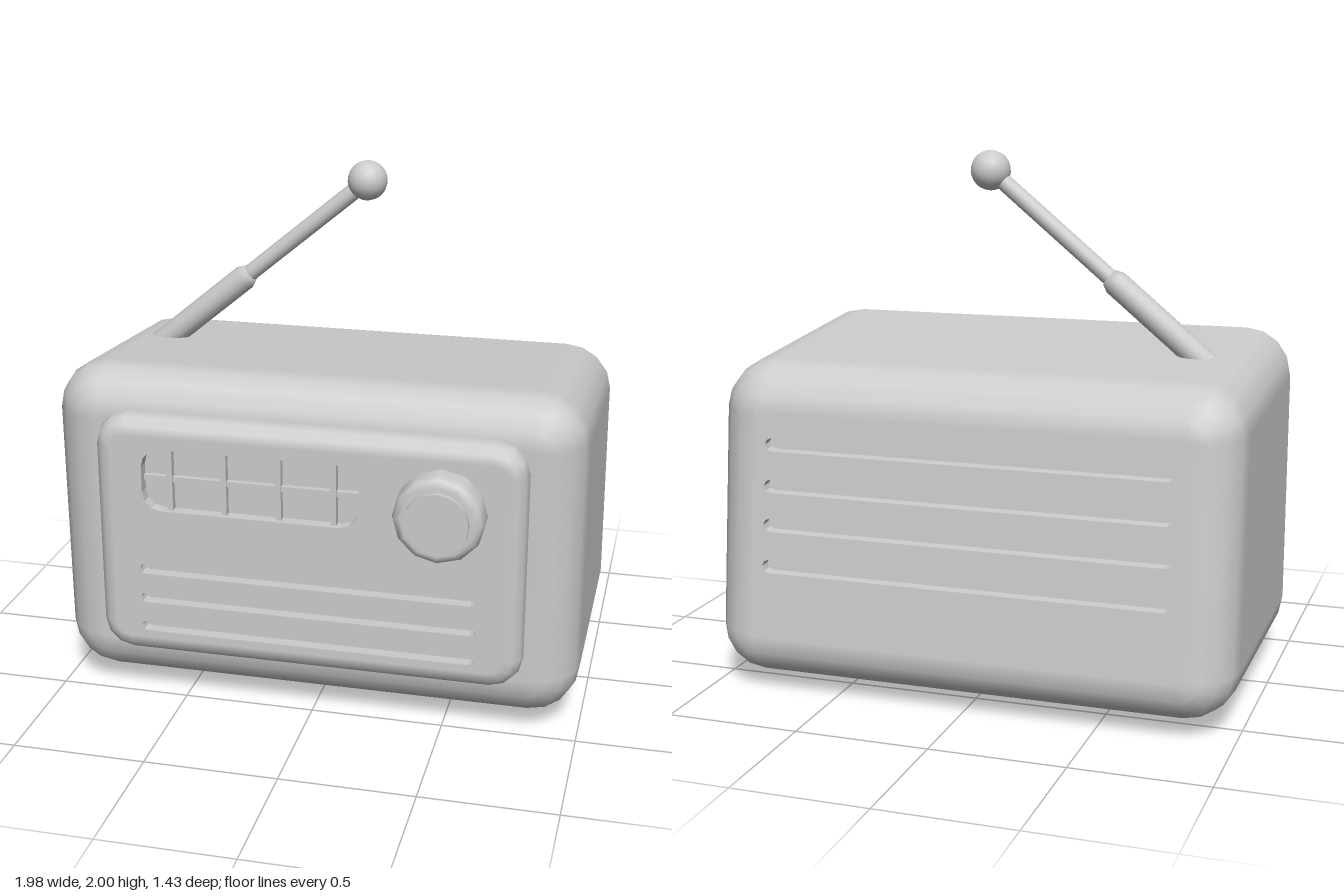
import * as THREE from 'three';
import { RoundedBoxGeometry } from 'three/addons/geometries/RoundedBoxGeometry.js';

const grey = new THREE.MeshStandardMaterial({ color: 0xcccccc });

function add(parent, name, geometry, x = 0, y = 0, z = 0) {
  const mesh = new THREE.Mesh(geometry, grey);
  mesh.name = name;
  mesh.position.set(x, y, z);
  parent.add(mesh);
  return mesh;
}

// Counter-clockwise outline of a rounded rectangle, with its outward directions
function outline(hw, hh, r, n, cx = 0, cy = 0) {
  const points = [], dirs = [];
  [[1, 1], [-1, 1], [-1, -1], [1, -1]].forEach(([sx, sy], corner) => {
    for (let i = 0; i <= n; i++) {
      const a = (corner + i / n) * Math.PI / 2;
      const d = new THREE.Vector2(Math.cos(a), Math.sin(a));
      dirs.push(d);
      points.push(new THREE.Vector2(cx + sx * (hw - r) + r * d.x, cy + sy * (hh - r) + r * d.y));
    }
  });
  return { points, dirs };
}

// Side wall of a rounded block, swept along z: each ring is [inset, z, normal angle]
function rim(hw, hh, r, n, cy, rings) {
  const pos = [], nor = [], index = [];
  const count = 4 * (n + 1);
  rings.forEach(([inset, z, a], k) => {
    const { points, dirs } = outline(hw - inset, hh - inset, r - inset, n, 0, cy);
    points.forEach((p, i) => {
      pos.push(p.x, p.y, z);
      nor.push(Math.cos(a) * dirs[i].x, Math.cos(a) * dirs[i].y, Math.sin(a));
      if (k === 0) return;
      const j = (i + 1) % count, lo = (k - 1) * count, hi = k * count;
      index.push(lo + i, lo + j, hi + j, lo + i, hi + j, hi + i);
    });
  });
  const g = new THREE.BufferGeometry();
  g.setAttribute('position', new THREE.Float32BufferAttribute(pos, 3));
  g.setAttribute('normal', new THREE.Float32BufferAttribute(nor, 3));
  g.setIndex(index);
  return g;
}

// Quarter-round rings from the flat side out to the face (or mirrored for the back)
function bevelRings(b, zFace, n, sign) {
  const rings = [];
  for (let i = 0; i <= n; i++) {
    const a = i / n * Math.PI / 2;
    rings.push([b * (1 - Math.cos(a)), zFace - sign * b * (1 - Math.sin(a)), sign * a]);
  }
  return sign > 0 ? rings : rings.reverse();
}

function faceShape(hw, hh, r, n, cy, holes = []) {
  const shape = new THREE.Shape(outline(hw, hh, r, n, 0, cy).points);
  holes.forEach(h => shape.holes.push(new THREE.Path(h.points)));
  return shape;
}

const slab = (shape, depth) =>
  new THREE.ExtrudeGeometry(shape, { depth, bevelEnabled: false });

// Lean the back forward and slope the top down towards the back
function taper(g) {
  const p = g.attributes.position, m = g.attributes.normal, v = new THREE.Vector3();
  for (let i = 0; i < p.count; i++) {
    const y = p.getY(i), z = p.getZ(i);
    p.setY(i, 0.055 + (y - 0.055) * (1 - 0.064 * (0.4 - Math.min(z, 0.4))));
    p.setZ(i, 0.53 - (0.53 - z) * (1 - 0.085 * (y - 0.15)));
    v.fromBufferAttribute(m, i);
    const up = Math.max(v.y, 0), back = Math.max(-v.z, 0);
    v.y += 0.1 * back;
    v.z -= 0.08 * up;
    v.normalize();
    m.setXYZ(i, v.x, v.y, v.z);
  }
  return g;
}

function createBody() {
  const body = new THREE.Group();
  body.name = 'body';
  const hw = 0.992, cy = 0.683, hh = 0.628, r = 0.185, b = 0.18, n = 4;
  const zF = 0.53, zB = -0.72;
  add(body, 'caseShell', taper(rim(hw, hh, r, n, cy,
    [...bevelRings(b, zB, n, -1), ...bevelRings(b, zF, n, 1)])));
  const face = holes => faceShape(hw - b, hh - b, r - b, 1, cy, holes);
  add(body, 'caseFront', taper(new THREE.ShapeGeometry(face()).translate(0, 0, zF)));

  // Back wall with four vent slots
  const slots = [0.525, 0.69, 0.845, 1.01].map(y => outline(0.775, 0.027, 0.027, 2, 0, y));
  const depth = 0.045;
  add(body, 'caseBack', taper(slab(face(slots), depth).rotateY(Math.PI).translate(0, 0, zB + depth)));
  add(body, 'ventFloor', taper(new THREE.ShapeGeometry(face()).rotateY(Math.PI).translate(0, 0, zB + depth)));
  return body;
}

function createFrontPanel() {
  const panel = new THREE.Group();
  panel.name = 'frontPanel';
  const hw = 0.8, hh = 0.473, cy = 0.692, r = 0.12, b = 0.07, z = 0.6, depth = 0.045;
  add(panel, 'panelRim', rim(hw, hh, r, 3, cy, [[0, 0.5, 0], ...bevelRings(b, z, 3, 1)]));

  // Dial window and three speaker slots cut into the face
  const holes = [0.338, 0.455, 0.572].map(y => outline(0.63, 0.02, 0.02, 2, 0, y));
  holes.push(outline(0.407, 0.12, 0.07, 3, -0.205, 0.93));
  const face = h => faceShape(hw - b, hh - b, r - b, 3, cy, h);
  add(panel, 'panelFace', slab(face(holes), depth).translate(0, 0, z - depth));
  add(panel, 'panelFloor', new THREE.ShapeGeometry(face()).translate(0, 0, z - depth));

  // Dial grid
  for (const x of [-0.51, -0.305, -0.1, 0.105])
    add(panel, 'dialBar', new THREE.BoxGeometry(0.02, 0.24, 0.03), x, 0.93, z - depth + 0.012);
  add(panel, 'dialLine', new THREE.BoxGeometry(0.81, 0.02, 0.024), -0.205, 0.93, z - depth + 0.01);
  return panel;
}

const lathe = (profile, sides) =>
  new THREE.LatheGeometry(profile.map(([x, y]) => new THREE.Vector2(x, y)), sides);

function createKnob() {
  const knob = new THREE.Group();
  knob.name = 'tuningKnob';
  add(knob, 'knobBody', lathe([[0.165, 0], [0.165, 0.065], [0.155, 0.088], [0.13, 0.102], [0, 0.102]], 12));
  add(knob, 'knobCap', new THREE.CylinderGeometry(0.116, 0.116, 0.06, 16), 0, 0.092, 0);
  knob.rotation.x = Math.PI / 2;
  knob.position.set(0.5, 0.905, 0.598);
  return knob;
}

function createAntenna() {
  const antenna = new THREE.Group();
  antenna.name = 'antenna';
  const base = new THREE.Vector3(-0.8, 1.2, -0.1);
  const axis = new THREE.Vector3(0.075, 1.925, -0.1).sub(base);
  const length = axis.length();
  add(antenna, 'lowerTube', lathe([[0, 0], [0.049, 0], [0.049, 0.505], [0.036, 0.535], [0, 0.535]], 16));
  add(antenna, 'upperTube', new THREE.CylinderGeometry(0.032, 0.032, length - 0.5, 16), 0, (length + 0.5) / 2, 0);
  add(antenna, 'tipBall', new THREE.SphereGeometry(0.075, 20, 14), 0, length, 0);
  antenna.position.copy(base);
  antenna.quaternion.setFromUnitVectors(new THREE.Vector3(0, 1, 0), axis.normalize());
  return antenna;
}

export function createModel() {
  const radio = new THREE.Group();
  radio.name = 'radio';
  radio.add(createBody(), createFrontPanel(), createKnob(), createAntenna());
  for (const side of [-1, 1])
    add(radio, 'foot', new RoundedBoxGeometry(0.114, 0.1, 0.69, 2, 0.04), side * 0.607, 0.05, -0.065);
  return radio;
}
